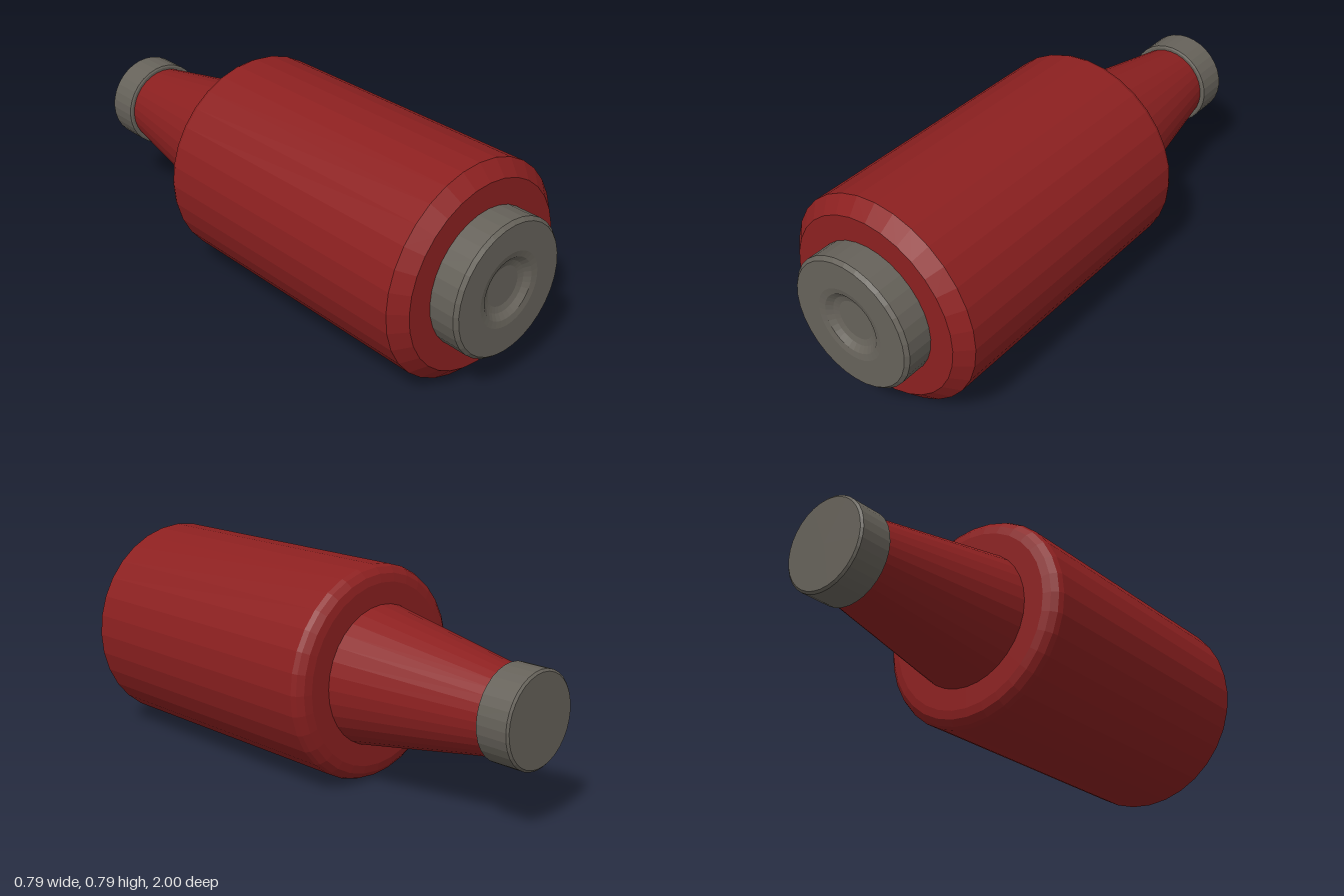
import * as THREE from 'three';

const SIDES = 32;
const AXIS_Y = 0.394;

const red = new THREE.MeshStandardMaterial({ color: 0x8c2020, flatShading: true });
const grey = new THREE.MeshStandardMaterial({ color: 0x66625a, flatShading: true });

// Turned part: profile of [radius, z] pairs running from back to front.
function turned(name, material, profile) {
  const points = profile.map(([r, z]) => new THREE.Vector2(r, z));
  const geometry = new THREE.LatheGeometry(points, SIDES);
  geometry.rotateX(Math.PI / 2);
  const mesh = new THREE.Mesh(geometry, material);
  mesh.name = name;
  mesh.position.y = AXIS_Y;
  return mesh;
}

export function createModel() {
  const group = new THREE.Group();
  group.name = 'cartridge';

  // Main cylinder: rounded shoulder at the back, straight chamfer in front
  group.add(turned('body', red, [
    [0, -0.305], [0.335, -0.305], [0.365, -0.298], [0.386, -0.28], [0.394, -0.262],
    [0.394, 0.84], [0.342, 0.89], [0, 0.89],
  ]));

  // Tapered neck
  group.add(turned('neck', red, [
    [0, -0.89], [0.15, -0.89], [0.257, -0.3], [0, -0.3],
  ]));

  // Cap on the end of the neck
  group.add(turned('neckCap', grey, [
    [0, -1], [0.162, -1], [0.17, -0.993], [0.17, -0.876], [0.163, -0.872], [0, -0.872],
  ]));

  // Front cap with a shallow round dimple
  group.add(turned('frontCap', grey, [
    [0, 0.88], [0.25, 0.88], [0.25, 0.987], [0.238, 1], [0.137, 1],
    [0.114, 0.995], [0.094, 0.978], [0.073, 0.971], [0, 0.971],
  ]));

  return group;
}
